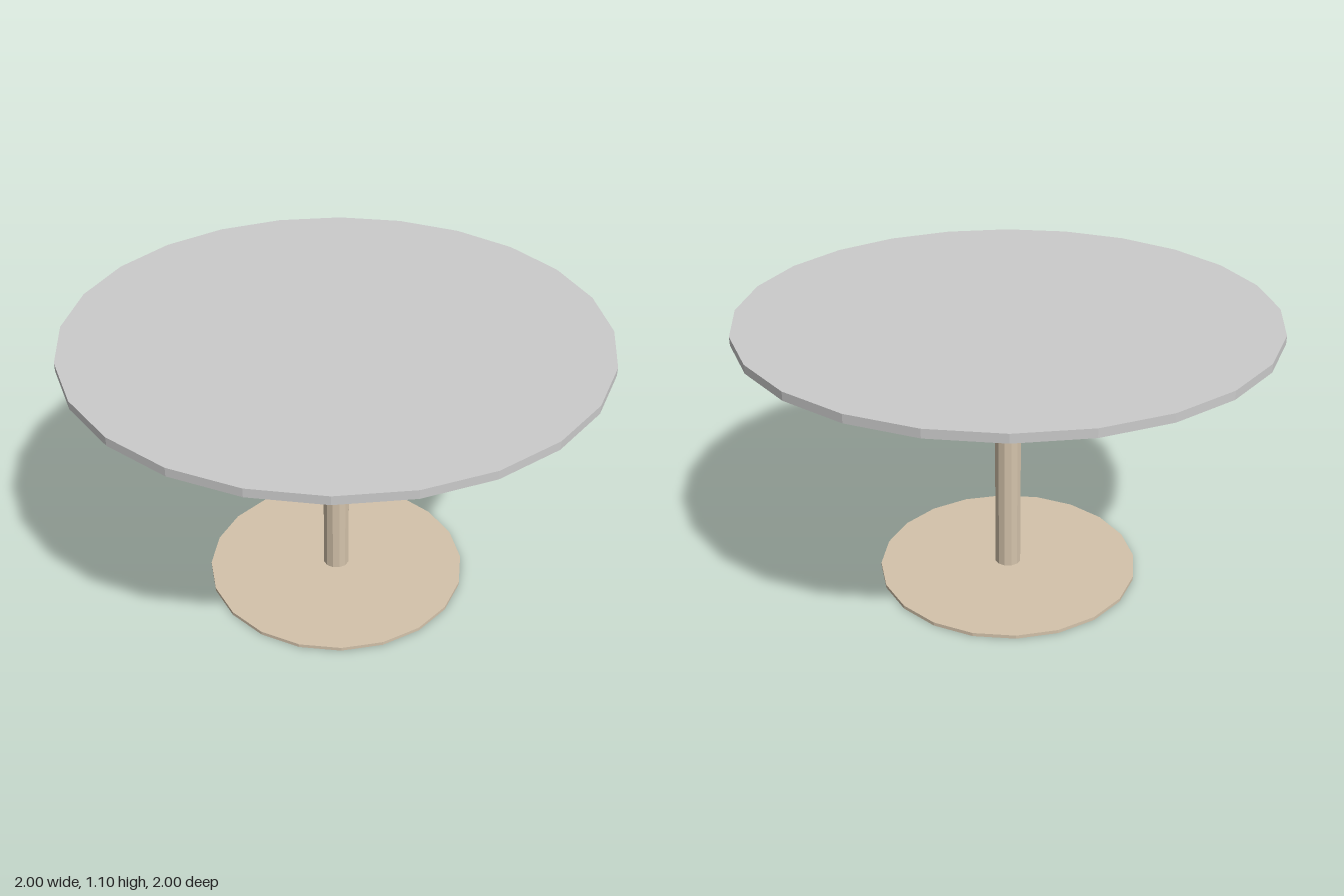
import * as THREE from 'three';

export function createModel() {
  const model = new THREE.Group();
  model.name = 'pedestalTable';

  const grey = new THREE.MeshStandardMaterial({ color: 0xcccccc, flatShading: true });
  const tan = new THREE.MeshStandardMaterial({ color: 0xd4c3ab, flatShading: true });

  // Upright faceted disc or post spanning y0..y1
  const addCylinder = (name, radius, y0, y1, sides, material) => {
    const mesh = new THREE.Mesh(
      new THREE.CylinderGeometry(radius, radius, y1 - y0, sides), material);
    mesh.name = name;
    mesh.position.y = (y0 + y1) / 2;
    model.add(mesh);
  };

  addCylinder('basePlate', 0.517, 0, 0.014, 20, tan);
  addCylinder('column', 0.052, 0.014, 1.068, 12, tan);
  addCylinder('tableTop', 1, 1.068, 1.1, 24, grey);

  return model;
}
